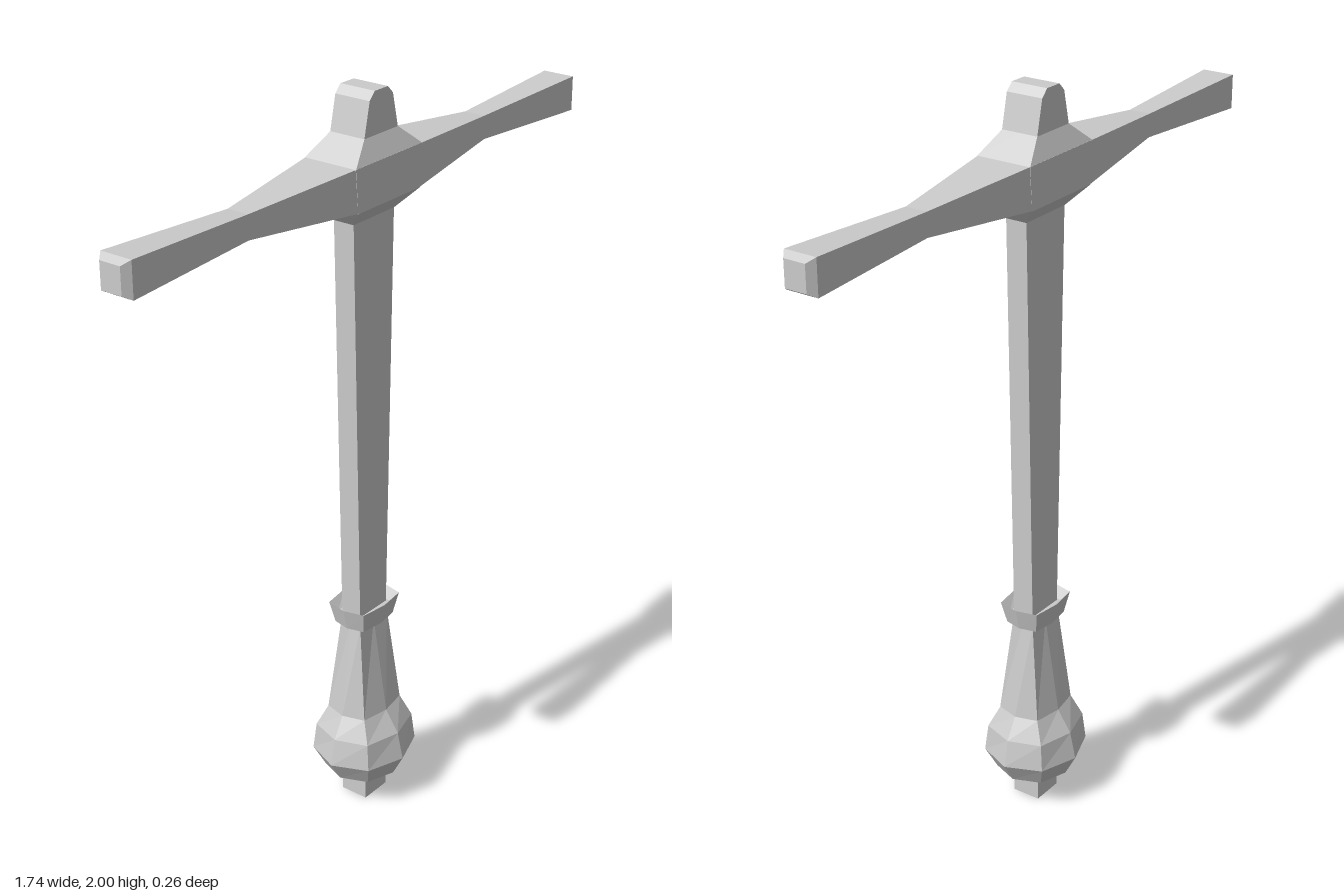
import * as THREE from 'three';

const material = new THREE.MeshStandardMaterial({ color: 0xcccccc, flatShading: true });

// Lofts eight-point rings upward. Section: [y, halfX, halfZ, corner],
// where corner 1 is a rectangle and about 0.71 a regular octagon.
function loft(name, sections) {
  const pos = [], index = [], n = 8;
  for (const [y, hx, hz, c = 1] of sections) {
    const ring = [[0, 1], [c, c], [1, 0], [c, -c], [0, -1], [-c, -c], [-1, 0], [-c, c]];
    for (const [x, z] of ring) pos.push(x * hx, y, z * hz);
  }
  const last = (sections.length - 1) * n;
  const bottom = pos.length / 3, top = bottom + 1;
  pos.push(0, sections[0][0], 0, 0, sections[sections.length - 1][0], 0);
  for (let j = 0; j < n; j++) {
    const k = (j + 1) % n;
    for (let i = 0; i < last; i += n) {
      index.push(i + j, i + k, i + n + k, i + j, i + n + k, i + n + j);
    }
    index.push(bottom, k, j, top, last + j, last + k);
  }
  const indexed = new THREE.BufferGeometry();
  indexed.setAttribute('position', new THREE.Float32BufferAttribute(pos, 3));
  indexed.setIndex(index);
  const geometry = indexed.toNonIndexed();
  geometry.computeVertexNormals();
  const mesh = new THREE.Mesh(geometry, material);
  mesh.name = name;
  return mesh;
}

export function createModel() {
  const group = new THREE.Group();
  group.name = 'model';

  // Square peg under the bulb
  group.add(loft('basePeg', [[0, 0.045, 0.04], [0.06, 0.045, 0.04]]));

  // Handle: faceted bulb tapering into a flat neck
  group.add(loft('handle', [
    [0.055, 0.05, 0.045, 0.85],
    [0.085, 0.108, 0.1, 0.73],
    [0.145, 0.145, 0.132, 0.72],
    [0.22, 0.13, 0.115, 0.76],
    [0.28, 0.096, 0.075, 0.82],
    [0.55, 0.058, 0.032, 1],
  ]));

  // Flared collar with a sunken top
  group.add(loft('collar', [
    [0.545, 0.075, 0.055, 0.85],
    [0.605, 0.09, 0.068, 0.85],
    [0.58, 0.065, 0.04, 0.95],
  ]));

  // Flat shaft widening upward
  group.add(loft('shaft', [[0.54, 0.055, 0.03], [1.69, 0.08, 0.03]]));

  // Central block with tapered underside and top stub
  group.add(loft('headBlock', [
    [1.68, 0.08, 0.03],
    [1.73, 0.122, 0.077],
    [1.84, 0.13, 0.077],
    [1.893, 0.065, 0.051],
    [1.98, 0.045, 0.051],
    [2.0, 0.025, 0.051],
  ]));

  // Crossbar: a half section list mirrored about the middle
  const half = [
    [0.12, 0.055, 0.077],
    [0.46, 0.031, 0.03],
    [0.85, 0.046, 0.045],
    [0.87, 0.034, 0.03],
  ];
  const mirrored = half.map(([p, h, d]) => [-p, h, d]).reverse();
  const bar = loft('crossbar', [...mirrored, ...half]);
  bar.rotation.z = -Math.PI / 2;
  bar.position.y = 1.786;
  group.add(bar);

  return group;
}
